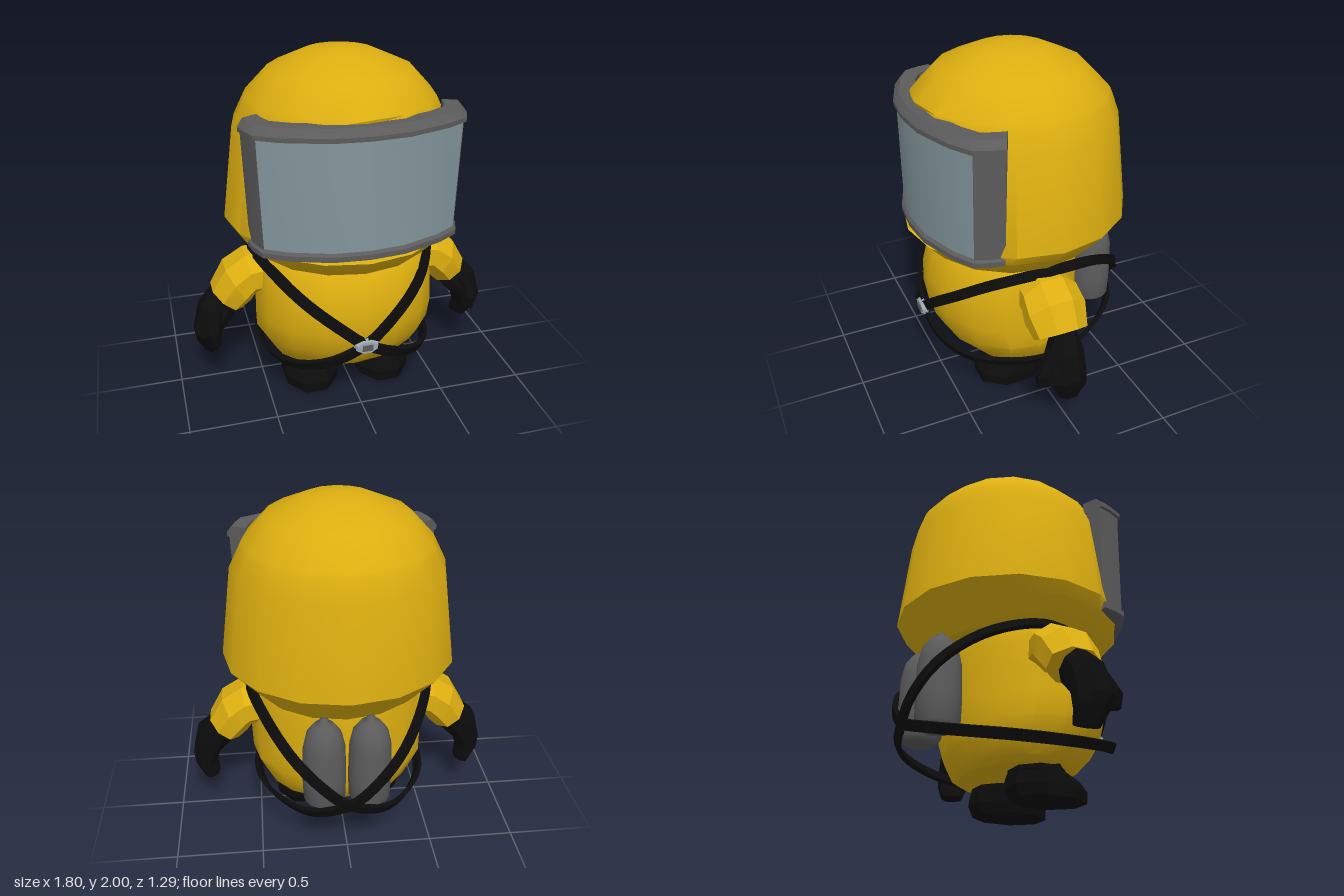
import * as THREE from 'three';
import { toCreasedNormals } from 'three/addons/utils/BufferGeometryUtils.js';

const mat = (name, color) => {
  const m = new THREE.MeshStandardMaterial({ color });
  m.name = name;
  return m;
};

// Skin a list of equal-length rings; ends are capped unless the loop is closed.
function loft(rings, crease = 0.6, closed = false) {
  const n = rings[0].length, pos = [], idx = [];
  rings.forEach(r => r.forEach(p => pos.push(p.x, p.y, p.z)));
  const last = closed ? rings.length : rings.length - 1;
  for (let i = 0; i < last; i++) for (let j = 0; j < n; j++) {
    const a = i * n + j, b = i * n + (j + 1) % n, o = ((i + 1) % rings.length) * n;
    const c = o + (j + 1) % n, d = o + j;
    idx.push(a, b, c, a, c, d);
  }
  if (!closed) for (const e of [0, rings.length - 1]) {
    const mid = rings[e].reduce((s, p) => s.add(p), new THREE.Vector3()).divideScalar(n);
    const m = pos.length / 3;
    pos.push(mid.x, mid.y, mid.z);
    for (let j = 0; j < n; j++) {
      const a = e * n + j, b = e * n + (j + 1) % n;
      e === 0 ? idx.push(m, b, a) : idx.push(m, a, b);
    }
  }
  // Turn the faces outward, whichever way the rings run
  const P = i => new THREE.Vector3().fromArray(pos, idx[i] * 3);
  let vol = 0;
  for (let i = 0; i < idx.length; i += 3) vol += P(i).dot(P(i + 1).cross(P(i + 2)));
  if (vol < 0) idx.reverse();
  const g = new THREE.BufferGeometry();
  g.setAttribute('position', new THREE.Float32BufferAttribute(pos, 3));
  g.setIndex(idx);
  return toCreasedNormals(g, crease);
}

// Elliptical ring spanning two points in the xy plane and a range of z.
function ring([x1, y1, x2, y2, z0, z1], n = 8, side = 1) {
  const phase = n === 8 ? Math.PI / 8 : 0, k = 1 / Math.cos(phase), out = [];
  for (let i = 0; i < n; i++) {
    const t = phase + i / n * Math.PI * 2, s = Math.sin(t) * k, c = Math.cos(t) * k;
    out.push(new THREE.Vector3(side * ((x1 + x2) / 2 + (x2 - x1) / 2 * s),
      (y1 + y2) / 2 + (y2 - y1) / 2 * s, (z0 + z1) / 2 + (z1 - z0) / 2 * c));
  }
  return out;
}

// Sweep a section of [inset scale, y] along a plan of [x, z], narrowing downward.
function band(plan, section, crease = 0.5) {
  return loft(plan.map(([x, z]) => section.map(([k, y]) =>
    new THREE.Vector3(x * k * (1 + (y - 1.7) * 0.06), y, z * k))), crease);
}

export function createModel() {
  const model = new THREE.Group();
  const yellow = mat('suit yellow', 0xdcae10), black = mat('rubber black', 0x0c0c0c);
  const grey = mat('metal grey', 0x5c5c5c), glass = mat('visor glass', 0x82959a);
  const silver = mat('buckle silver', 0x9aa9ac);
  const add = (name, geo, m) => {
    const mesh = new THREE.Mesh(geo, m);
    mesh.name = name;
    model.add(mesh);
    return mesh;
  };

  // Torso: y, half width, back z, front z
  add('body', loft([
    [0.16, 0.38, -0.25, 0.32], [0.19, 0.43, -0.29, 0.37], [0.28, 0.48, -0.34, 0.46],
    [0.37, 0.53, -0.36, 0.51], [0.5, 0.535, -0.36, 0.55], [0.65, 0.53, -0.36, 0.545],
    [0.78, 0.52, -0.35, 0.51], [0.87, 0.5, -0.34, 0.46], [0.93, 0.45, -0.3, 0.4],
  ].map(([y, r, b, f]) => ring([-r, y, r, y, b, f], 16))), yellow);

  // Hood: y, half width, back z, front z; flattened in front behind the visor
  const hood = [
    [0.865, 0.49, -0.46, 0.48], [0.885, 0.52, -0.48, 0.54], [1.0, 0.625, -0.58, 0.645],
    [1.012, 0.635, -0.59, 0.65], [1.07, 0.675, -0.645, 0.66], [1.6, 0.605, -0.585, 0.6],
    [1.72, 0.545, -0.545, 0.57], [1.75, 0.53, -0.53, 0.56], [1.89, 0.4, -0.39, 0.42],
    [1.98, 0.195, -0.19, 0.21], [2.0, 0.04, -0.03, 0.05],
  ].map(([y, r, b, f]) => ring([-r, y, r, y, b, f], 16));
  hood.flat().forEach(p => { if (p.y > 1.005 && p.y < 1.73) p.z = Math.min(p.z, 0.55); });
  add('hood', loft(hood), yellow);

  // Visor: curved pane, top and bottom bars, side posts
  const half = [[0.6, 0.3], [0.585, 0.37], [0.55, 0.455], [0.43, 0.525], [0.2, 0.603]];
  const mirrorPlan = h => [...h, [0, 0.62], ...h.map(([x, z]) => [-x, z]).reverse()];
  const plan = mirrorPlan(half);
  add('visorPane', band(mirrorPlan(half.slice(2)),
    [[1, 1.04], [1, 1.69], [0.985, 1.69], [0.985, 1.04]]), glass);
  add('visorTopBar', band(plan,
    [[1.0, 1.665], [1.025, 1.67], [1.025, 1.695], [0.97, 1.735], [0.84, 1.735], [0.84, 1.665]]), grey);
  add('visorBottomBar', band(plan,
    [[1.0, 1.065], [1.025, 1.05], [1.025, 1.02], [0.99, 1.01], [0.86, 1.01], [0.86, 1.065]]), grey);
  for (const s of [1, -1]) {
    add('visorPost', band(half.slice(0, 3).map(([x, z]) => [s * x, z]),
      [[1.005, 1.03], [1.005, 1.7], [0.87, 1.7], [0.87, 1.03]], 0.3), grey);
  }

  for (const s of [1, -1]) {
    const limb = (name, rows, m) => add(name, loft(rows.map(r => ring(r, 8, s)), 0.35), m);
    limb('sleeve', [
      [0.42, 0.6, 0.46, 0.86, -0.1, 0.18], [0.53, 0.6, 0.58, 0.85, -0.13, 0.19],
      [0.56, 0.56, 0.7, 0.775, -0.14, 0.2], [0.615, 0.505, 0.78, 0.635, -0.12, 0.17],
    ], yellow);
    limb('glove', [
      [0.62, 0.51, 0.77, 0.64, -0.05, 0.08], [0.68, 0.44, 0.86, 0.545, -0.06, 0.15],
      [0.74, 0.38, 0.9, 0.38, -0.06, 0.17], [0.765, 0.3, 0.89, 0.31, -0.06, 0.12],
      [0.75, 0.235, 0.84, 0.215, -0.05, 0.08],
    ], black);
    limb('thumb', [
      [0.76, 0.34, 0.83, 0.34, 0.08, 0.21], [0.75, 0.42, 0.85, 0.42, 0.06, 0.22],
      [0.73, 0.53, 0.83, 0.53, 0.04, 0.15],
    ], black);
    limb('boot', [
      [0.07, 0, 0.38, 0, -0.07, 0.33], [0.055, 0.06, 0.39, 0.06, -0.095, 0.33],
      [0.065, 0.11, 0.38, 0.11, -0.09, 0.29], [0.075, 0.14, 0.375, 0.14, -0.08, 0.21],
      [0.08, 0.2, 0.37, 0.2, -0.07, 0.19],
    ], black);

    // Air tank with a small valve on its domed top
    const profile = [[0, 0.32], [0.08, 0.325], [0.12, 0.36], [0.125, 0.5], [0.12, 0.7], [0.1, 0.79],
      [0.06, 0.845], [0.02, 0.86], [0.025, 0.88], [0, 0.89]].map(p => new THREE.Vector2(...p));
    add('airTank', new THREE.LatheGeometry(profile, 16), grey).position.set(s * 0.13, 0, -0.47);

    // Strap: a flat closed ribbon over one shoulder and under the other arm
    const curve = new THREE.CatmullRomCurve3([
      [0.53, 0.87, 0.02], [0.42, 0.79, 0.34], [0.3, 0.69, 0.475], [0.12, 0.55, 0.565],
      [0, 0.455, 0.58], [-0.2, 0.36, 0.555], [-0.38, 0.3, 0.43], [-0.5, 0.255, 0.1],
      [-0.46, 0.255, -0.2], [-0.22, 0.31, -0.55], [0, 0.39, -0.62], [0.13, 0.5, -0.62],
      [0.3, 0.66, -0.53], [0.45, 0.81, -0.3],
    ].map(([x, y, z]) => new THREE.Vector3(s * x, y, z)), true);
    const rings = [];
    for (let i = 0; i < 56; i++) {
      const p = curve.getPointAt(i / 56), t = curve.getTangentAt(i / 56);
      const out = p.clone().sub(new THREE.Vector3(0, 0.55, 0));
      out.addScaledVector(t, -out.dot(t)).normalize();
      const across = t.clone().cross(out);
      rings.push([[1, 1], [1, -1], [-1, -1], [-1, 1]].map(([a, b]) =>
        p.clone().addScaledVector(across, a * 0.029).addScaledVector(out, b * 0.013)));
    }
    add('strap', loft(rings, 0.5, true), black);
  }

  // Chest buckle with its release button
  const buckle = new THREE.CylinderGeometry(0.055, 0.07, 0.03, 8).rotateY(Math.PI / 8)
    .rotateX(Math.PI / 2).scale(1.12, 0.68, 1);
  add('buckle', toCreasedNormals(buckle, 0.3), silver).position.set(0, 0.455, 0.595);
  add('buckleButton', new THREE.BoxGeometry(0.06, 0.035, 0.009), grey).position.set(0, 0.455, 0.612);

  return model;
}
